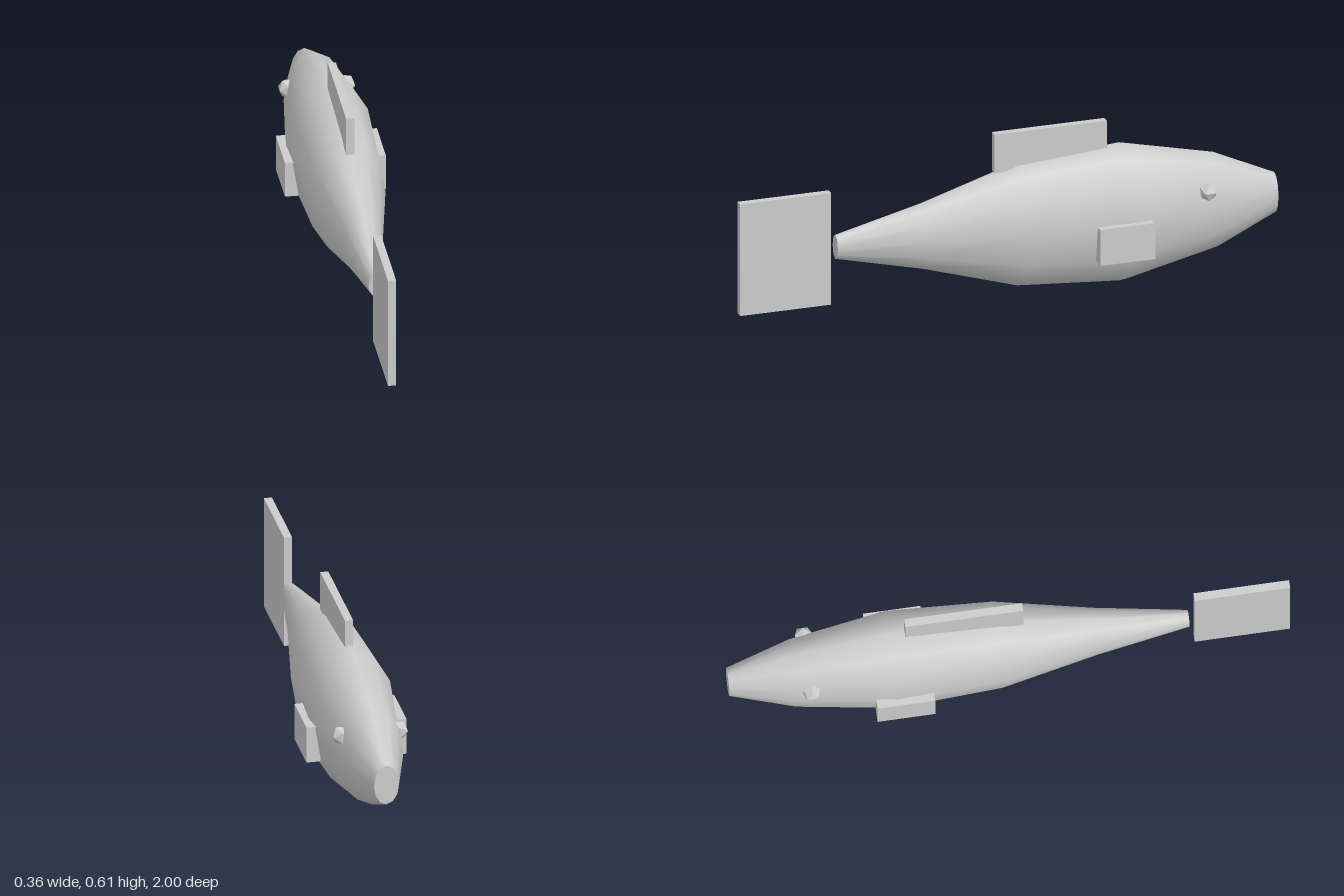
import * as THREE from 'three';

export function createModel() {
  const fish = new THREE.Group();
  fish.name = 'fish';
  const grey = new THREE.MeshStandardMaterial({ color: 0xcccccc });
  grey.name = 'grey';

  const add = (name, geometry, x, y, z) => {
    const mesh = new THREE.Mesh(geometry, grey);
    mesh.name = name;
    mesh.position.set(x, y, z);
    fish.add(mesh);
    return mesh;
  };

  // Body: twelve-sided lathe from snout (-z) to tail stem (+z), narrowed in x
  const axisY = 0.26, narrow = 0.605;
  const profile = [
    [0.075, -1], [0.18, -0.77], [0.26, -0.42],
    [0.231, -0.04], [0.125, 0.31], [0.045, 0.64],
  ].map(([r, z]) => new THREE.Vector2(r, z));
  const body = new THREE.LatheGeometry(profile, 12);
  body.rotateX(Math.PI / 2);
  body.scale(narrow, 1, 1);
  add('body', body, 0, axisY, 0);

  // Flat ends of the body
  const endCap = (name, r, z, turn) => {
    const cap = new THREE.CircleGeometry(r, 12, Math.PI / 2);
    cap.rotateY(turn);
    cap.scale(narrow, 1, 1);
    add(name, cap, 0, axisY, z);
  };
  endCap('snout', 0.075, -1, Math.PI);
  endCap('tailStemEnd', 0.045, 0.64, 0);

  // Upright fins on the centre line
  add('dorsalFin', new THREE.BoxGeometry(0.029, 0.145, 0.42), 0, 0.54, -0.16);
  add('tailFin', new THREE.BoxGeometry(0.029, 0.42, 0.34), 0, 0.26, 0.83);

  // Side fins and faceted eyes
  for (const [side, s] of [['left', 1], ['right', -1]]) {
    add(side + 'SideFin', new THREE.BoxGeometry(0.05, 0.135, 0.205), s * 0.155, 0.2025, -0.39);
    add(side + 'Eye', new THREE.IcosahedronGeometry(0.036, 0), s * 0.104, 0.335, -0.715);
  }
  return fish;
}
